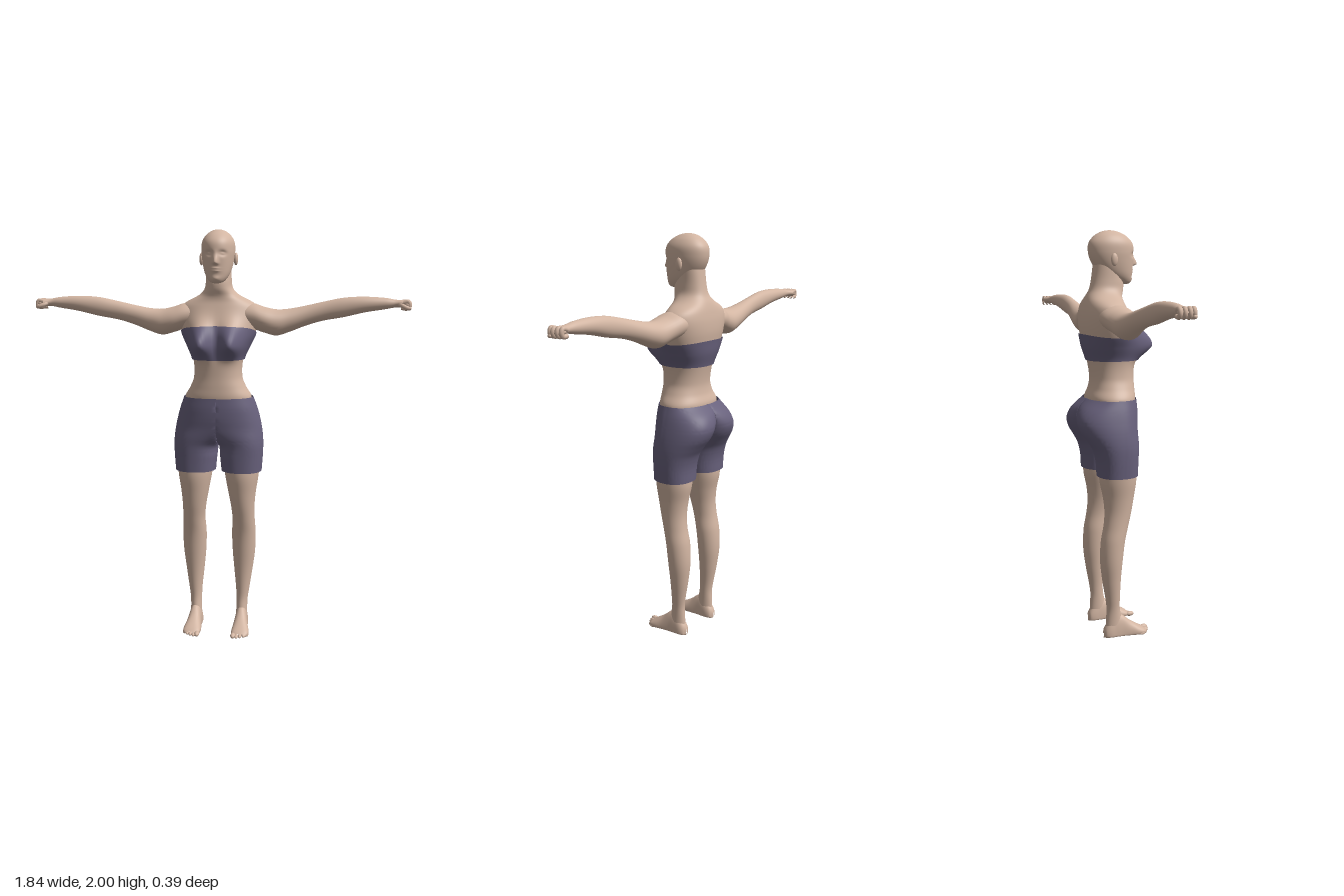
import * as THREE from 'three';
import { toCreasedNormals } from 'three/addons/utils/BufferGeometryUtils.js';

const skin = new THREE.MeshStandardMaterial({ color: 0xd2b5a2 });
skin.name = 'skin';
const cloth = new THREE.MeshStandardMaterial({ color: 0x68617c, side: THREE.DoubleSide });
cloth.name = 'cloth';

const gauss = (d, s) => Math.exp(-(d * d) / (s * s));
const pow = (v, e) => Math.sign(v) * Math.abs(v) ** e;
const mix = (a, b, t) => a + (b - a) * t;

// Smooth interpolation through table rows; column 0 is the key
function at(rows, key) {
  let i = 0;
  while (i < rows.length - 2 && key > rows[i + 1][0]) i++;
  const a = rows[i], b = rows[i + 1], p = rows[Math.max(i - 1, 0)], n = rows[Math.min(i + 2, rows.length - 1)];
  const h = b[0] - a[0], t = (key - a[0]) / h, t2 = t * t, t3 = t2 * t;
  return a.slice(1).map((va, k) => {
    const c = k + 1, ma = (b[c] - p[c]) / (b[0] - p[0]), mb = (n[c] - a[c]) / (n[0] - a[0]);
    return (2 * t3 - 3 * t2 + 1) * va + (t3 - 2 * t2 + t) * h * ma + (3 * t2 - 2 * t3) * b[c] + (t3 - t2) * h * mb;
  });
}

// Closed rings of points stacked along v: point(angle, v) -> [x, y, z]
function loft(nu, nv, point) {
  const pos = [], idx = [];
  for (let j = 0; j <= nv; j++)
    for (let i = 0; i < nu; i++) pos.push(...point((i / nu) * Math.PI * 2, j / nv));
  for (let j = 0; j < nv; j++)
    for (let i = 0; i < nu; i++) {
      const a = j * nu + i, b = j * nu + ((i + 1) % nu);
      idx.push(a, b, a + nu, b, b + nu, a + nu);
    }
  const g = new THREE.BufferGeometry();
  g.setAttribute('position', new THREE.Float32BufferAttribute(pos, 3));
  g.setIndex(idx);
  g.computeVertexNormals();
  return g;
}

// Mirrored copy across x = 0 with corner order restored
function mirrored(geo) {
  const g = (geo.index ? geo.toNonIndexed() : geo.clone()).scale(-1, 1, 1);
  for (const attr of Object.values(g.attributes))
    for (let i = 0; i < attr.count; i += 3)
      for (let k = 0; k < attr.itemSize; k++) {
        const v = attr.getComponent(i + 1, k);
        attr.setComponent(i + 1, k, attr.getComponent(i + 2, k));
        attr.setComponent(i + 2, k, v);
      }
  return g;
}

function ball(x, y, z, rx, ry, rz) {
  return new THREE.SphereGeometry(1, 20, 14).scale(rx, ry, rz).translate(x, y, z);
}

// y, half width, front z, back z
const torsoRows = [
  [1.14, 0.155, 0.1, -0.1], [1.2, 0.163, 0.114, -0.115], [1.25, 0.136, 0.115, -0.1], [1.3, 0.118, 0.114, -0.095],
  [1.385, 0.122, 0.115, -0.108], [1.45, 0.15, 0.108, -0.126], [1.5, 0.174, 0.1, -0.133], [1.55, 0.188, 0.088, -0.139],
  [1.6, 0.195, 0.072, -0.138], [1.64, 0.183, 0.06, -0.132], [1.665, 0.15, 0.054, -0.126], [1.69, 0.1, 0.055, -0.117],
  [1.72, 0.07, 0.065, -0.102], [1.76, 0.062, 0.066, -0.092], [1.84, 0.06, 0.045, -0.08],
];
function torsoPoint(t, y, off) {
  const [w, zf, zb] = at(torsoRows, y);
  const mid = (zf + zb) / 2, c = Math.cos(t);
  const x = (w + off) * pow(Math.sin(t), 0.9);
  let z = mid + ((zf - zb) / 2 + off) * pow(c, 0.9);
  if (c > 0) z += 0.092 * Math.min(1, c * 1.6) * gauss(Math.abs(x) - 0.074, 0.052) * gauss(y - 1.46, y > 1.46 ? 0.088 : 0.056);
  return [x, y, z];
}
const bandTop = (t) => {
  const c = Math.cos(t);
  return 1.5 + (c > 0 ? 0.047 * c ** 0.6 : 0.012 * c * c);
};

// y, half width, front z, back z
const headRows = [
  [1.747, 0.01, 0.088, 0.065], [1.752, 0.028, 0.1, 0.035], [1.767, 0.044, 0.109, 0], [1.79, 0.058, 0.112, -0.035],
  [1.82, 0.068, 0.115, -0.068], [1.86, 0.076, 0.118, -0.094], [1.9, 0.08, 0.12, -0.105], [1.94, 0.077, 0.113, -0.102],
  [1.97, 0.061, 0.087, -0.08], [1.99, 0.037, 0.051, -0.049], [1.998, 0.017, 0.023, -0.022], [2, 0.001, 0.003, -0.002],
];
function headPoint(t, v) {
  const y = mix(1.747, 2, 0.5 - 0.5 * Math.cos(Math.PI * mix(0.08, 1, v)) < 0.016 ? 0 : (0.5 - 0.5 * Math.cos(Math.PI * mix(0.08, 1, v)) - 0.0157) / 0.9843);
  const [w, zf, zb] = at(headRows, y), c = Math.cos(t);
  const x = w * pow(Math.sin(t), 0.95), ax = Math.abs(x);
  let z = (zf + zb) / 2 + ((zf - zb) / 2) * pow(c, 0.95);
  if (c > 0) {
    z += 0.025 * gauss(x, 0.012) * gauss(y - 1.843, y > 1.843 ? 0.03 : 0.008); // nose
    z -= 0.013 * gauss(ax - 0.033, 0.017) * gauss(y - 1.886, 0.012); // eye sockets
    z += 0.007 * gauss(ax - 0.033, 0.011) * gauss(y - 1.885, 0.006); // eyelids
    z += 0.007 * gauss(x, 0.02) * gauss(y - 1.81, 0.01); // lips
    z -= 0.006 * gauss(x, 0.02) * gauss(y - 1.811, 0.0025); // mouth line
    z += 0.005 * gauss(x, 0.02) * gauss(y - 1.768, 0.012); // chin
  }
  return [x, y, z];
}

// x, centre y, half height, centre z, half depth
const armRows = [
  [0.09, 1.6, 0.055, -0.035, 0.075], [0.17, 1.59, 0.062, -0.025, 0.082], [0.22, 1.574, 0.062, -0.016, 0.078],
  [0.28, 1.561, 0.063, -0.016, 0.07], [0.34, 1.571, 0.056, -0.02, 0.058], [0.42, 1.594, 0.048, -0.021, 0.044],
  [0.5, 1.615, 0.045, -0.018, 0.036], [0.6, 1.634, 0.046, -0.015, 0.035], [0.7, 1.648, 0.037, -0.016, 0.034],
  [0.8, 1.653, 0.026, -0.02, 0.027], [0.845, 1.653, 0.018, -0.023, 0.023], [0.87, 1.652, 0.018, -0.025, 0.033],
  [0.895, 1.649, 0.02, -0.026, 0.039], [0.908, 1.647, 0.015, -0.026, 0.034], [0.913, 1.646, 0.001, -0.026, 0.001],
];

// y, inner x, outer x, front z, back z
const legRows = [
  [0.03, 0.088, 0.148, 0.03, -0.066], [0.1, 0.09, 0.146, 0.017, -0.062], [0.15, 0.09, 0.148, 0.008, -0.06],
  [0.2, 0.088, 0.155, 0.007, -0.066], [0.3, 0.078, 0.17, 0.01, -0.083], [0.4, 0.069, 0.183, 0.018, -0.094],
  [0.5, 0.066, 0.186, 0.03, -0.09], [0.58, 0.07, 0.182, 0.048, -0.076], [0.65, 0.063, 0.182, 0.065, -0.07],
  [0.72, 0.05, 0.188, 0.078, -0.076], [0.8, 0.035, 0.2, 0.09, -0.092], [0.87, 0.025, 0.207, 0.09, -0.094],
];

// z, centre x, half width, top y
const footRows = [
  [-0.077, 0.117, 0.004, 0.03], [-0.072, 0.117, 0.02, 0.045], [-0.05, 0.118, 0.031, 0.08], [-0.015, 0.118, 0.033, 0.115],
  [0.02, 0.119, 0.034, 0.108], [0.06, 0.12, 0.039, 0.076], [0.1, 0.122, 0.044, 0.05], [0.13, 0.122, 0.041, 0.032],
  [0.145, 0.121, 0.03, 0.02],
];

// y, outer x, inner x at front, inner x at back, front z, back z
const shortsRows = [
  [0.83, 0.215, 0.015, 0.015, 0.095, -0.102], [0.9, 0.22, 0.008, 0.008, 0.097, -0.106], [0.96, 0.222, 0, 0, 0.1, -0.122],
  [1, 0.22, -0.06, -0.014, 0.106, -0.146], [1.05, 0.213, -0.16, -0.034, 0.113, -0.178], [1.1, 0.202, -0.2, -0.05, 0.12, -0.19],
  [1.15, 0.188, -0.187, -0.085, 0.122, -0.17], [1.2, 0.17, -0.17, -0.17, 0.12, -0.122],
];
function shortsPoint(t, v) {
  const y = mix(0.83, 1.2, v), [out, inF, inB, zf, zb] = at(shortsRows, y);
  const c = Math.cos(t), inner = c >= 0 ? inF : inB, mid = -0.01;
  const x = (out + inner) / 2 + ((out - inner) / 2) * pow(Math.sin(t), 0.88);
  return [y > 0.96 ? Math.max(0, x) : x, y, mid + (c >= 0 ? zf - mid : mid - zb) * pow(c, 0.88)];
}

export function createModel() {
  const model = new THREE.Group();
  model.name = 'figure';
  const add = (name, geo, mat = skin) => {
    const m = new THREE.Mesh(geo, mat);
    m.name = name;
    model.add(m);
  };
  const pair = (name, geo, mat = skin) => {
    add(name + 'Left', geo, mat);
    add(name + 'Right', mirrored(geo), mat);
  };

  // Head, neck and trunk
  add('head', loft(96, 100, headPoint));
  add('torso', loft(72, 80, (t, v) => torsoPoint(t, mix(1.14, 1.84, v), 0)));
  pair('ear', ball(0.083, 1.862, -0.006, 0.011, 0.03, 0.017));

  // Clothing
  add('chestBand', loft(96, 24, (t, v) => torsoPoint(t, mix(1.385, bandTop(t), v), 0.007)), cloth);
  pair('shorts', toCreasedNormals(loft(80, 44, shortsPoint), 0.8), cloth);

  // Arms with palms
  pair('arm', loft(32, 72, (t, v) => {
    const x = mix(0.09, 0.913, v), [cy, ry, cz, rz] = at(armRows, x);
    return [x, cy + ry * Math.cos(t), cz + rz * Math.sin(t)];
  }));

  // Curled fingers and thumb
  const tube = (pts, r) => new THREE.TubeGeometry(new THREE.CatmullRomCurve3(pts.map((p) => new THREE.Vector3(...p))), 14, r, 10);
  for (let i = 0; i < 4; i++) {
    const z = -0.056 + i * 0.02, x = 0.909 - Math.abs(i - 2) * 0.004;
    pair('finger' + (i + 1), tube([[x - 0.03, 1.658, z], [x - 0.006, 1.662, z], [x, 1.645, z], [x - 0.008, 1.631, z], [x - 0.03, 1.632, z]], 0.0105));
  }
  pair('thumb', tube([[0.858, 1.65, -0.008], [0.875, 1.642, 0.008], [0.893, 1.634, 0.012], [0.906, 1.632, 0.004]], 0.01));
  pair('thumbTip', ball(0.906, 1.632, 0.004, 0.01, 0.01, 0.01));

  // Legs
  pair('leg', loft(36, 60, (t, v) => {
    const y = mix(0.03, 0.87, v), [xi, xo, zf, zb] = at(legRows, y);
    return [(xi + xo) / 2 + ((xo - xi) / 2) * Math.sin(t), y, (zf + zb) / 2 + ((zf - zb) / 2) * Math.cos(t)];
  }));

  // Feet with flat soles and five toes
  pair('foot', loft(32, 36, (t, v) => {
    const z = mix(-0.077, 0.145, v), [cx, rx, top] = at(footRows, z), s = Math.sin(t), base = Math.min(0.016, top * 0.5);
    return [cx + rx * pow(Math.cos(t), 0.85), s > 0 ? base + (top - base) * s : base + base * pow(s, 0.5), z];
  }));
  for (let i = 0; i < 5; i++) {
    const r = i === 0 ? 0.0125 : 0.0095 - i * 0.0004;
    pair('toe' + (i + 1), ball(0.091 + i * 0.017, r + 0.001, 0.15 - i * i * 0.0022, r, r, 0.023 - i * 0.001));
  }
  return model;
}
